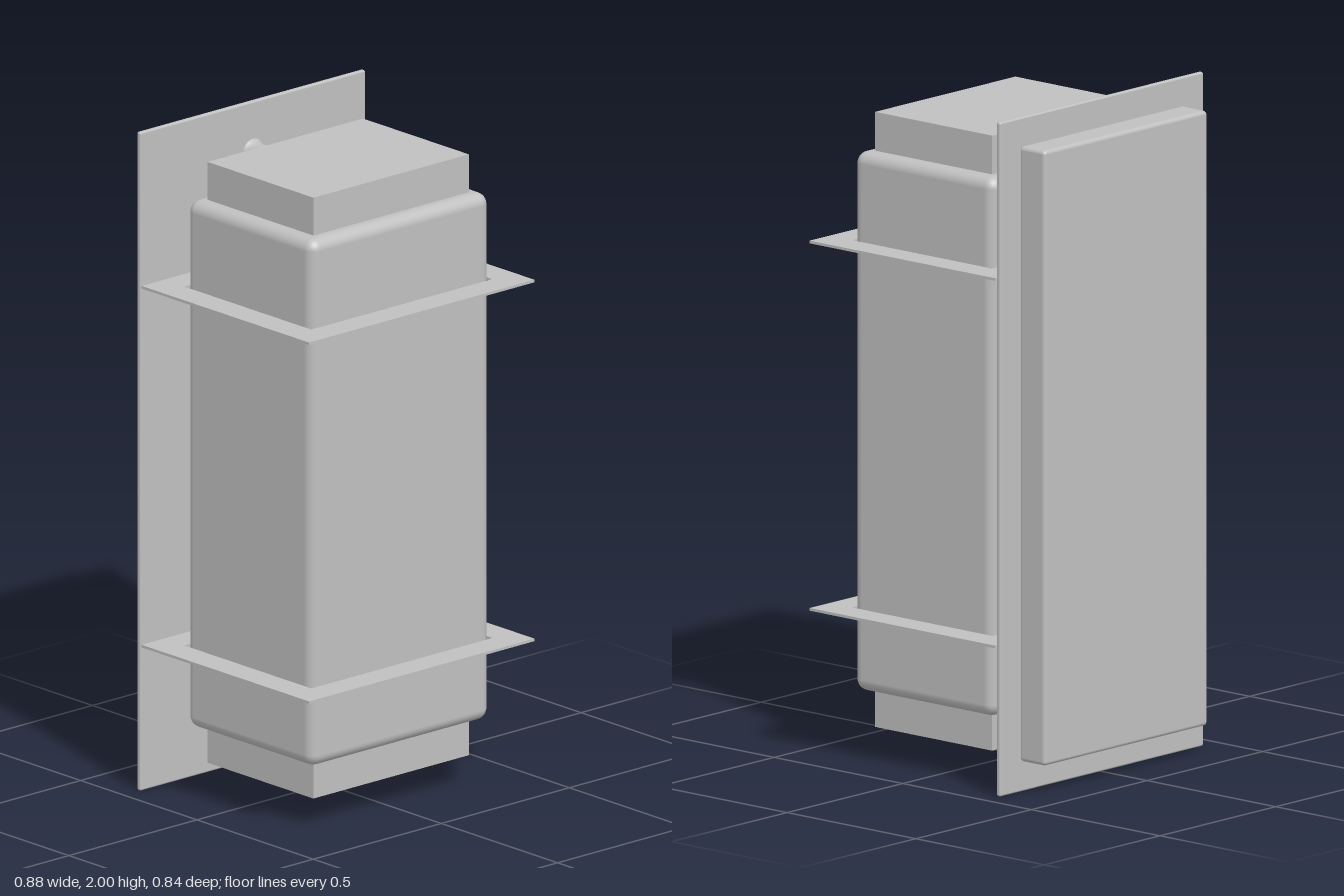
import * as THREE from 'three';
import { RoundedBoxGeometry } from 'three/addons/geometries/RoundedBoxGeometry.js';

export function createModel() {
  const lamp = new THREE.Group();
  lamp.name = 'wallLamp';
  const grey = new THREE.MeshStandardMaterial({ color: 0xc0c0c0 });
  grey.name = 'grey metal';

  const add = (name, geometry, x, y, z) => {
    const mesh = new THREE.Mesh(geometry, grey);
    mesh.name = name;
    mesh.position.set(x, y, z);
    lamp.add(mesh);
    return mesh;
  };

  // Box given by half width and its y and z limits, edges rounded by r
  const block = (name, hw, y0, y1, z0, z1, r) =>
    add(name, new RoundedBoxGeometry(hw * 2, y1 - y0, z1 - z0, 4, r), 0, (y0 + y1) / 2, (z0 + z1) / 2);

  // Wall mount
  block('wallPlate', 0.44, 0, 2, -0.325, -0.309, 0.006);
  block('backBox', 0.353, 0.09, 1.915, -0.42, -0.32, 0.012);

  // Shade with a smaller cap at each end
  block('shade', 0.35, 0.2, 1.8, -0.215, 0.33, 0.035);
  const cap = new THREE.BoxGeometry(0.607, 0.14, 0.455);
  add('topCap', cap, 0, 1.845, 0.057);
  add('bottomCap', cap, 0, 0.16, 0.057);

  // Thin square rings around the shade
  const rect = (path, hw, hd) => path.moveTo(-hw, -hd).lineTo(hw, -hd).lineTo(hw, hd).lineTo(-hw, hd).closePath();
  const outline = rect(new THREE.Shape(), 0.44, 0.36);
  outline.holes.push(rect(new THREE.Path(), 0.353, 0.273));
  const ring = new THREE.ExtrudeGeometry(outline, { depth: 0.008, bevelEnabled: false });
  ring.rotateX(-Math.PI / 2);
  add('upperRing', ring, 0, 1.528, 0.056);
  add('lowerRing', ring, 0, 0.438, 0.056);

  // Stems that flare out where they meet the wall plate
  const profile = [[0.042, 0], [0.04, 0.005], [0.034, 0.012], [0.032, 0.03], [0.032, 0.15]]
    .map(([r, h]) => new THREE.Vector2(r, h));
  const stem = new THREE.LatheGeometry(profile, 32);
  stem.rotateX(Math.PI / 2);
  add('upperStem', stem, 0, 1.845, -0.31);
  add('lowerStem', stem, 0, 0.148, -0.31);

  return lamp;
}
